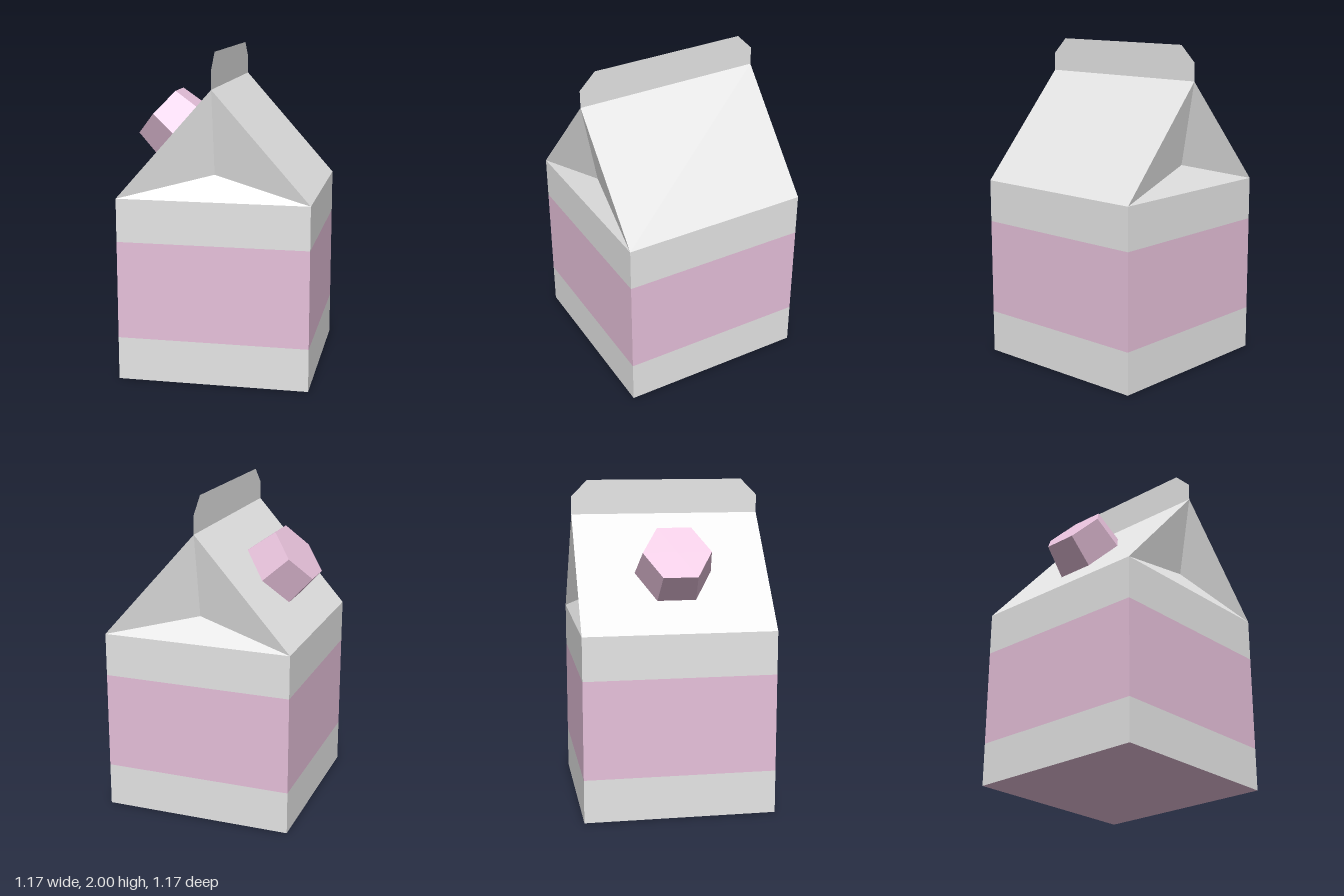
import * as THREE from 'three';

const HALF = 0.585;        // half width of the square carton
const EAVE = 1.13, RIDGE = 1.79;

export function createModel() {
  const carton = new THREE.Group();
  carton.name = 'drinkCarton';
  const white = new THREE.MeshStandardMaterial({ color: 0xe6e6e6, side: THREE.DoubleSide });
  white.name = 'white card';
  const pink = new THREE.MeshStandardMaterial({ color: 0xe7c1db });
  pink.name = 'pink';

  const add = (name, geometry, material) => {
    const mesh = new THREE.Mesh(geometry, material);
    mesh.name = name;
    carton.add(mesh);
    return mesh;
  };
  const faceted = (geometry) => {
    const flat = geometry.toNonIndexed();
    flat.computeVertexNormals();
    return flat;
  };
  const fromTriangles = (points) => {
    const geometry = new THREE.BufferGeometry().setFromPoints(points);
    geometry.computeVertexNormals();
    return geometry;
  };

  // Square sleeves stacked to form the body
  const sleeve = (name, y0, y1, material) => {
    const r = HALF * Math.SQRT2;
    const geometry = new THREE.CylinderGeometry(r, r, y1 - y0, 4, 1, true);
    geometry.rotateY(Math.PI / 4).translate(0, (y0 + y1) / 2, 0);
    add(name, faceted(geometry), material);
  };
  sleeve('lowerBody', 0, 0.265, white);
  sleeve('bodyBand', 0.265, 0.865, pink);
  sleeve('upperBody', 0.865, EAVE, white);
  add('base', new THREE.PlaneGeometry(2 * HALF, 2 * HALF).rotateX(Math.PI / 2), pink);

  // Sloping roof panels and folded-in gables; each half turn gives the opposite one
  const v = (x, y, z) => new THREE.Vector3(x, y, z);
  const eaveFront = v(HALF, EAVE, HALF), eaveBack = v(HALF, EAVE, -HALF);
  const ridgeFront = v(0, RIDGE, HALF), ridgeBack = v(0, RIDGE, -HALF);
  const eaveLeft = v(-HALF, EAVE, HALF), fold = v(0, 1.28, 0.495);
  const panel = fromTriangles([
    eaveFront, eaveBack, ridgeBack, eaveFront, ridgeBack, ridgeFront]);
  const gable = fromTriangles([
    eaveLeft, eaveFront, fold,
    eaveFront, ridgeFront, fold,
    ridgeFront, eaveLeft, fold]);
  for (const [side, end, turn] of [['left', 'front', 0], ['right', 'back', Math.PI]]) {
    add(side + 'RoofPanel', panel, white).rotation.y = turn;
    add(end + 'Gable', gable, white).rotation.y = turn;
  }

  // Thin sealed fin along the ridge, with clipped corners
  const finShape = new THREE.Shape([
    [-HALF, RIDGE], [HALF, RIDGE], [HALF, 1.9], [0.485, 2], [-0.485, 2], [-HALF, 1.9],
  ].map(([a, b]) => new THREE.Vector2(a, b)));
  add('topFin', new THREE.ShapeGeometry(finShape).rotateY(Math.PI / 2), white);

  // Tapered hexagonal cap standing square on the right roof panel
  const capGeometry = new THREE.CylinderGeometry(0.207, 0.234, 0.208, 6).translate(0, 0.104, 0);
  const cap = add('screwCap', faceted(capGeometry), pink);
  cap.position.set(-0.295, 1.457, 0);
  cap.rotation.z = Math.atan2(RIDGE - EAVE, HALF);

  return carton;
}
